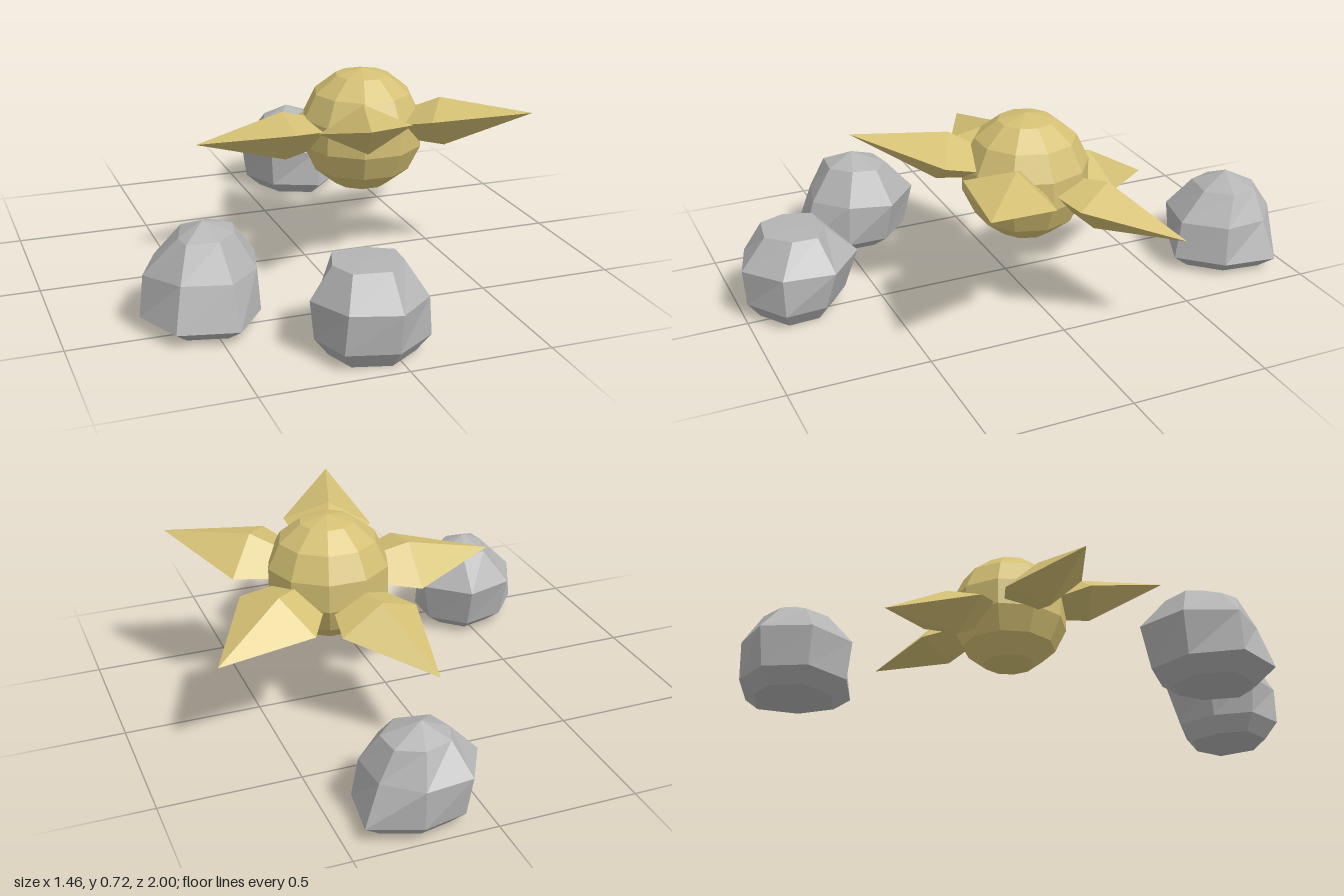
import * as THREE from 'three';

const gold = new THREE.MeshStandardMaterial({ color: 0xd4c074, flatShading: true });
gold.name = 'gold';
const stone = new THREE.MeshStandardMaterial({ color: 0xb4b4b4, flatShading: true });
stone.name = 'stone grey';

// Closed solid from stacked rings (counter-clockwise seen from above) with a point at each end
function loft(rings, bottom, top) {
  const pos = [];
  const n = rings[0].length;
  const tri = (...pts) => pts.forEach((p) => pos.push(...p));
  for (let i = 0; i < n; i++) {
    const j = (i + 1) % n;
    tri(bottom, rings[0][j], rings[0][i]);
    for (let k = 0; k + 1 < rings.length; k++) {
      const a = rings[k], b = rings[k + 1];
      tri(a[i], a[j], b[j]);
      tri(a[i], b[j], b[i]);
    }
    const last = rings[rings.length - 1];
    tri(top, last[i], last[j]);
  }
  const geo = new THREE.BufferGeometry();
  geo.setAttribute('position', new THREE.Float32BufferAttribute(pos, 3));
  geo.computeVertexNormals();
  return geo;
}

// Seven-sided boulder: low, middle and upper outlines as [x, z], plus a peak
function rock(name, { low, mid, high, heights, peak, foot }) {
  const at = (outline, y) => outline.map(([x, z]) => [x, y, z]);
  const cx = low.reduce((s, p) => s + p[0], 0) / low.length;
  const cz = low.reduce((s, p) => s + p[1], 0) / low.length;
  const base = low.map(([x, z]) => [cx + (x - cx) * foot, cz + (z - cz) * foot]);
  const rings = [at(base, 0), at(low, heights[0]), at(mid, heights[1]), at(high, heights[2])];
  const mesh = new THREE.Mesh(loft(rings, [cx, 0, cz], peak), stone);
  mesh.name = name;
  return mesh;
}

export function createModel() {
  const model = new THREE.Group();
  model.name = 'floating star with rocks';

  // Floating ball with a tilted ring of five points
  const star = new THREE.Group();
  star.name = 'star';
  star.position.set(0.215, 0.49, 0.02);
  model.add(star);

  const ball = new THREE.Mesh(new THREE.SphereGeometry(0.23, 10, 7), gold);
  ball.name = 'ball';
  star.add(ball);

  const points = new THREE.Group();
  points.name = 'points';
  points.rotation.x = -0.29;
  star.add(points);

  // Long four-sided diamond lying along +x, its inner end hidden in the ball
  const w = 0.165, h = 0.087, wide = 0.305;
  const section = [[wide, 0, w], [wide, -h, 0], [wide, 0, -w], [wide, h, 0]];
  const pointGeo = loft([section], [-0.06, 0, 0], [0.635, 0, 0]);
  for (let i = 0; i < 5; i++) {
    const point = new THREE.Mesh(pointGeo, gold);
    point.name = 'point' + (i + 1);
    point.rotation.y = Math.PI + (i * Math.PI * 2) / 5;
    points.add(point);
  }

  // Three boulders on the ground
  model.add(rock('rightRock', {
    low: [[-0.735, 0.435], [-0.655, 0.615], [-0.45, 0.66], [-0.335, 0.51], [-0.335, 0.36], [-0.455, 0.245], [-0.62, 0.29]],
    mid: [[-0.72, 0.435], [-0.625, 0.57], [-0.46, 0.61], [-0.345, 0.5], [-0.305, 0.34], [-0.455, 0.205], [-0.64, 0.265]],
    high: [[-0.6, 0.45], [-0.59, 0.52], [-0.48, 0.53], [-0.41, 0.46], [-0.39, 0.37], [-0.46, 0.31], [-0.56, 0.33]],
    heights: [0.05, 0.2, 0.32], peak: [-0.51, 0.365, 0.43], foot: 0.66,
  }));
  model.add(rock('frontRock', {
    low: [[-0.25, 0.8], [-0.2, 0.945], [-0.03, 0.99], [0.12, 0.89], [0.11, 0.74], [-0.02, 0.63], [-0.16, 0.69]],
    mid: [[-0.265, 0.8], [-0.19, 0.95], [-0.025, 1], [0.11, 0.89], [0.13, 0.705], [-0.02, 0.577], [-0.175, 0.665]],
    high: [[-0.19, 0.8], [-0.155, 0.89], [-0.03, 0.91], [0.045, 0.83], [0.05, 0.74], [-0.04, 0.69], [-0.155, 0.7]],
    heights: [0.06, 0.195, 0.307], peak: [-0.06, 0.31, 0.8], foot: 0.75,
  }));
  model.add(rock('backRock', {
    low: [[0.02, -0.82], [0.09, -0.66], [0.27, -0.585], [0.405, -0.725], [0.432, -0.925], [0.255, -0.995], [0.1, -0.96]],
    mid: [[0, -0.82], [0.08, -0.65], [0.265, -0.61], [0.385, -0.74], [0.375, -0.9], [0.255, -1], [0.085, -0.98]],
    high: [[0.1, -0.82], [0.13, -0.73], [0.25, -0.71], [0.33, -0.79], [0.32, -0.89], [0.23, -0.935], [0.13, -0.9]],
    heights: [0.05, 0.19, 0.295], peak: [0.205, 0.345, -0.83], foot: 0.72,
  }));

  return model;
}
